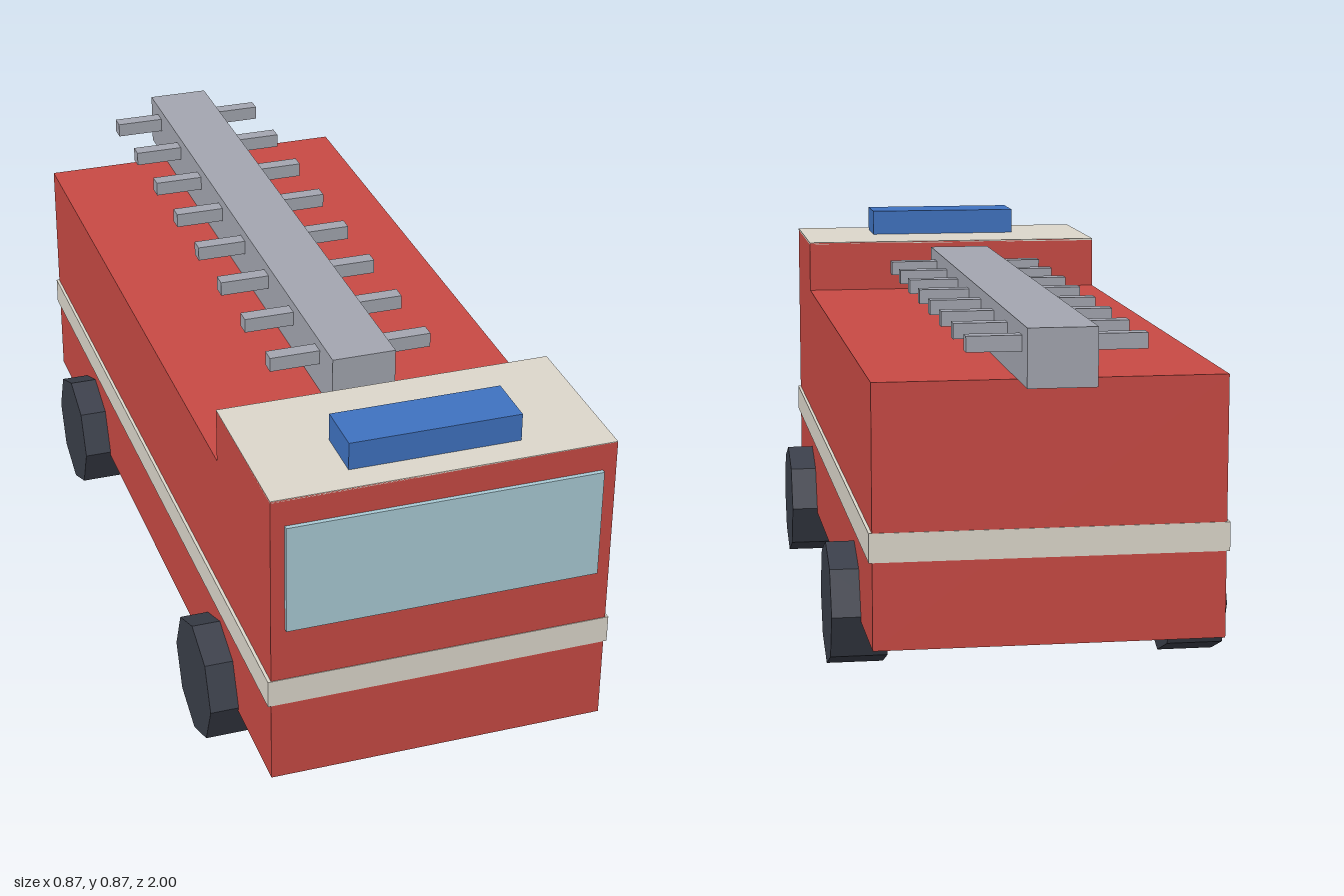
import * as THREE from 'three';

const paint = (color) => new THREE.MeshStandardMaterial({ color, flatShading: true });

export function createModel() {
  const truck = new THREE.Group();
  truck.name = 'fireTruck';

  const red = paint(0xc84a44);
  const cream = paint(0xdcd7cb);
  const glass = paint(0xa9cad5);
  const blue = paint(0x3f72c0);
  const steel = paint(0xa3a6b0);
  const rubber = paint(0x3a3e49);

  // Box given by its extents on each axis, symmetric in x
  function slab(name, halfX, [y0, y1], [z0, z1], material, parent = truck) {
    const mesh = new THREE.Mesh(new THREE.BoxGeometry(2 * halfX, y1 - y0, z1 - z0), material);
    mesh.position.set(0, (y0 + y1) / 2, (z0 + z1) / 2);
    mesh.name = name;
    parent.add(mesh);
    return mesh;
  }

  // Body and raised cab: one stepped side profile, extruded across x
  const halfWidth = 0.371;
  const profile = new THREE.Shape([
    [-0.99, 0.126], [0.876, 0.126], [0.876, 0.685],
    [-0.617, 0.685], [-0.617, 0.807], [-0.99, 0.807],
  ].map(([x, y]) => new THREE.Vector2(x, y)));
  const bodyGeometry = new THREE.ExtrudeGeometry(profile, { depth: 2 * halfWidth, bevelEnabled: false });
  bodyGeometry.translate(0, 0, -halfWidth).rotateY(Math.PI / 2);
  const body = new THREE.Mesh(bodyGeometry, red);
  body.name = 'body';
  truck.add(body);

  // Cab details and the stripe around the body
  slab('cabRoof', halfWidth, [0.804, 0.8085], [0.617, 0.99], cream);
  slab('windscreen', 0.341, [0.498, 0.746], [0.97, 1.0], glass);
  slab('lightBar', 0.186, [0.807, 0.87], [0.803, 0.925], blue);
  slab('stripe', 0.378, [0.312, 0.374], [-0.8775, 0.9915], cream);

  // Ladder: central beam with rungs through it, overhanging the rear
  const ladder = new THREE.Group();
  ladder.name = 'ladder';
  truck.add(ladder);
  slab('ladderBeam', 0.072, [0.685, 0.807], [-1.0, 0.49], steel, ladder);
  for (let i = 0; i < 8; i++) {
    const z = 0.385 - i * 0.1865;
    slab('ladderRung', 0.186, [0.751, 0.784], [z - 0.017, z + 0.017], steel, ladder);
  }

  // Eight-sided wheels
  const wheelGeometry = new THREE.CylinderGeometry(0.137, 0.137, 0.124, 8);
  wheelGeometry.rotateZ(Math.PI / 2);
  for (const [end, z] of [['front', 0.617], ['rear', -0.5]]) {
    for (const [side, sign] of [['Left', 1], ['Right', -1]]) {
      const wheel = new THREE.Mesh(wheelGeometry, rubber);
      wheel.name = `${end}${side}Wheel`;
      wheel.position.set(sign * 0.372, 0.137, z);
      truck.add(wheel);
    }
  }

  return truck;
}
